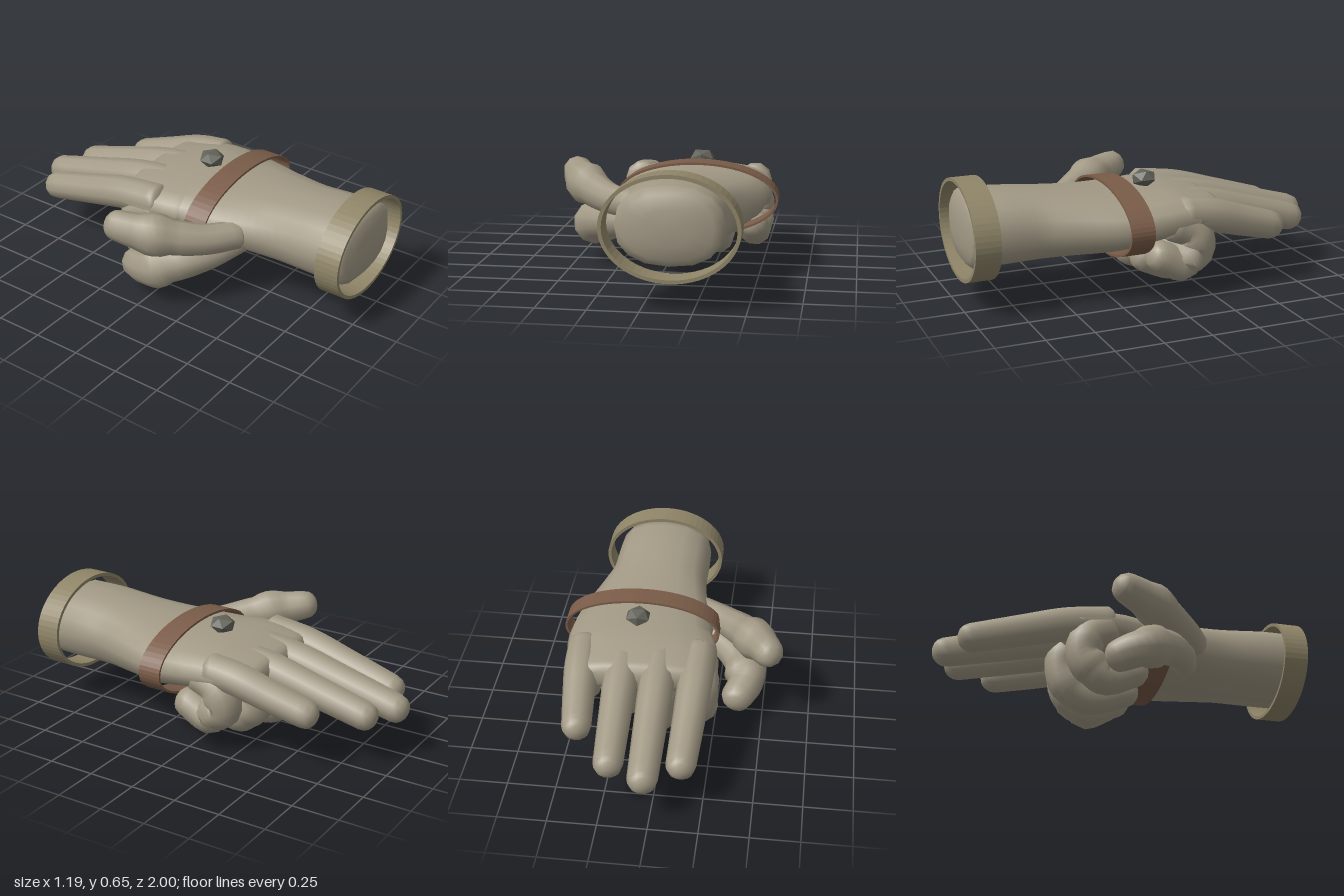
import * as THREE from 'three';

const skin = new THREE.MeshStandardMaterial({ color: 0xa39a86 });
const V = (x, y, z) => new THREE.Vector3(x, y, z);

// Smooth closed sweep through stations [x, y, z, radius along side, radius across], rounded at both ends
function limb(name, stations, { side = V(1, 0, 0), sides = 10, steps = 18, startDome = 0.03, endDome = 0.07, power = 1 } = {}) {
  const path = new THREE.CatmullRomCurve3(stations.map(s => V(s[0], s[1], s[2])));
  const radii = new THREE.CatmullRomCurve3(stations.map(s => V(s[3], s[4] ?? s[3], 0)));
  const rings = [];
  const add = (u, shift, scale) => rings.push({ u, shift, scale });
  for (const a of [1.1, 0.6]) add(0, -startDome * Math.sin(a), Math.cos(a));
  for (let i = 0; i <= steps; i++) add(i / steps, 0, 1);
  for (const a of [0.45, 0.8, 1.15]) add(1, endDome * Math.sin(a), Math.cos(a));

  const pos = [], index = [];
  const bend = c => Math.sign(c) * Math.abs(c) ** power;
  for (const { u, shift, scale } of rings) {
    const t = path.getTangent(u), r = radii.getPoint(u);
    const c = path.getPoint(u).addScaledVector(t, shift);
    const n1 = side.clone().addScaledVector(t, -side.dot(t)).normalize();
    const n2 = t.clone().cross(n1);
    for (let j = 0; j < sides; j++) {
      const a = j / sides * Math.PI * 2;
      const p = c.clone().addScaledVector(n1, bend(Math.cos(a)) * r.x * scale)
        .addScaledVector(n2, bend(Math.sin(a)) * r.y * scale);
      pos.push(p.x, p.y, p.z);
    }
  }
  // Skin between neighbouring rings
  for (let i = 0; i < rings.length - 1; i++) {
    for (let j = 0; j < sides; j++) {
      const k = (j + 1) % sides, a = i * sides, b = a + sides;
      index.push(a + j, a + k, b + k, a + j, b + k, b + j);
    }
  }
  // End caps
  const first = path.getPoint(0).addScaledVector(path.getTangent(0), -startDome);
  const last = path.getPoint(1).addScaledVector(path.getTangent(1), endDome);
  const f = rings.length * sides, top = f - sides;
  pos.push(...first.toArray(), ...last.toArray());
  for (let j = 0; j < sides; j++) {
    const k = (j + 1) % sides;
    index.push(f, k, j, f + 1, top + j, top + k);
  }
  const geo = new THREE.BufferGeometry();
  geo.setAttribute('position', new THREE.Float32BufferAttribute(pos, 3));
  geo.setIndex(index);
  geo.computeVertexNormals();
  const mesh = new THREE.Mesh(geo, skin);
  mesh.name = name;
  return mesh;
}

// Flat oval hoop around the arm
function hoop(name, color, x, y, z, rx, ry, depth, wall) {
  const shape = new THREE.Shape().absellipse(0, 0, rx, ry, 0, Math.PI * 2);
  shape.holes.push(new THREE.Path().absellipse(0, 0, rx - wall, ry - wall, 0, Math.PI * 2, true));
  const geo = new THREE.ExtrudeGeometry(shape, { depth, bevelEnabled: false, curveSegments: 28 });
  const mesh = new THREE.Mesh(geo, new THREE.MeshStandardMaterial({ color }));
  mesh.position.set(x, y, z);
  mesh.name = name;
  return mesh;
}

export function createModel() {
  const group = new THREE.Group();
  group.name = 'hand';

  // Forearm, wrist and palm in one sweep
  group.add(limb('forearmAndPalm', [
    [0.135, 0.41, 0.95, 0.26, 0.19],
    [0.137, 0.41, 0.8, 0.267, 0.188],
    [0.14, 0.405, 0.62, 0.27, 0.177],
    [0.15, 0.40, 0.45, 0.305, 0.165],
    [0.16, 0.40, 0.22, 0.365, 0.148],
    [0.165, 0.42, 0.02, 0.385, 0.125],
    [0.14, 0.425, -0.12, 0.395, 0.112],
    [0.135, 0.415, -0.3, 0.385, 0.088],
  ], { sides: 16, steps: 24, startDome: 0.045, endDome: 0.06, power: 0.85 }));

  // Straight fingers: base x, tip x, tip z, tip height, radius
  [
    ['index', -0.165, -0.145, -0.89, 0.275, 0.08],
    ['middle', 0.035, 0.03, -1.0, 0.262, 0.081],
    ['ring', 0.225, 0.21, -0.915, 0.272, 0.08],
    ['little', 0.445, 0.405, -0.69, 0.305, 0.08],
  ].forEach(([name, x0, x1, tip, y1, r]) => {
    const end = tip + 0.068, z0 = -0.1;
    const at = (k, y, s) => [x0 + (x1 - x0) * k ** 1.4, y, z0 + (end - z0) * k, r * s];
    group.add(limb(name + 'FingerStraight', [
      at(0, 0.445, 1.1), at(0.3, 0.415 + (y1 - 0.27) * 0.2, 1.12),
      at(0.65, 0.445 + (y1 - 0.445) * 0.55, 1.04), at(1, y1 + 0.01, 0.95),
    ]));
  });

  // Curled fingers: x, knuckle reach in z, underside height
  [
    ['index', -0.175, -0.33, 0.03],
    ['middle', 0.035, -0.4, 0.002],
    ['ring', 0.245, -0.345, 0.03],
    ['little', 0.45, -0.265, 0.09],
  ].forEach(([name, x, reach, low]) => {
    const r = 0.088, back = reach + r;
    group.add(limb(name + 'FingerCurled', [
      [x, 0.40, back + 0.14, r],
      [x, 0.35, back + 0.03, r * 1.05],
      [x, 0.24, back, r * 1.05],
      [x, low + r + 0.04, back + 0.06, r * 1.05],
      [x, low + r + 0.002, (back + 0.04) / 2 - 0.03, r],
      [x, low + r + 0.06, 0.03, r * 0.95],
    ], { steps: 22 }));
  });

  // Open thumb pointing outward, and folded thumb beneath it
  group.add(limb('thumbOpen', [
    [-0.13, 0.39, 0.37, 0.075],
    [-0.27, 0.395, 0.27, 0.08],
    [-0.385, 0.42, 0.14, 0.092],
    [-0.475, 0.45, 0, 0.092],
    [-0.52, 0.472, -0.1, 0.08],
  ], { side: V(0, 1, 0) }));
  group.add(limb('thumbFolded', [
    [-0.05, 0.31, 0.34, 0.07],
    [-0.24, 0.275, 0.25, 0.08],
    [-0.37, 0.24, 0.12, 0.095],
    [-0.405, 0.2, 0, 0.095],
    [-0.365, 0.165, -0.1, 0.085],
  ], { side: V(0, 1, 0) }));

  // Sleeve hoop, bracelet and gem
  group.add(hoop('cuffRing', 0x8f8568, 0.14, 0.405, 0.865, 0.335, 0.257, 0.13, 0.018));
  group.add(hoop('bracelet', 0x7a5c48, 0.173, 0.402, 0.115, 0.42, 0.188, 0.125, 0.012));
  const gem = new THREE.Mesh(new THREE.IcosahedronGeometry(0.07, 0),
    new THREE.MeshStandardMaterial({ color: 0x62625a, flatShading: true }));
  gem.scale.y = 0.68;
  gem.position.set(0.175, 0.577, 0);
  gem.name = 'gem';
  group.add(gem);

  return group;
}
